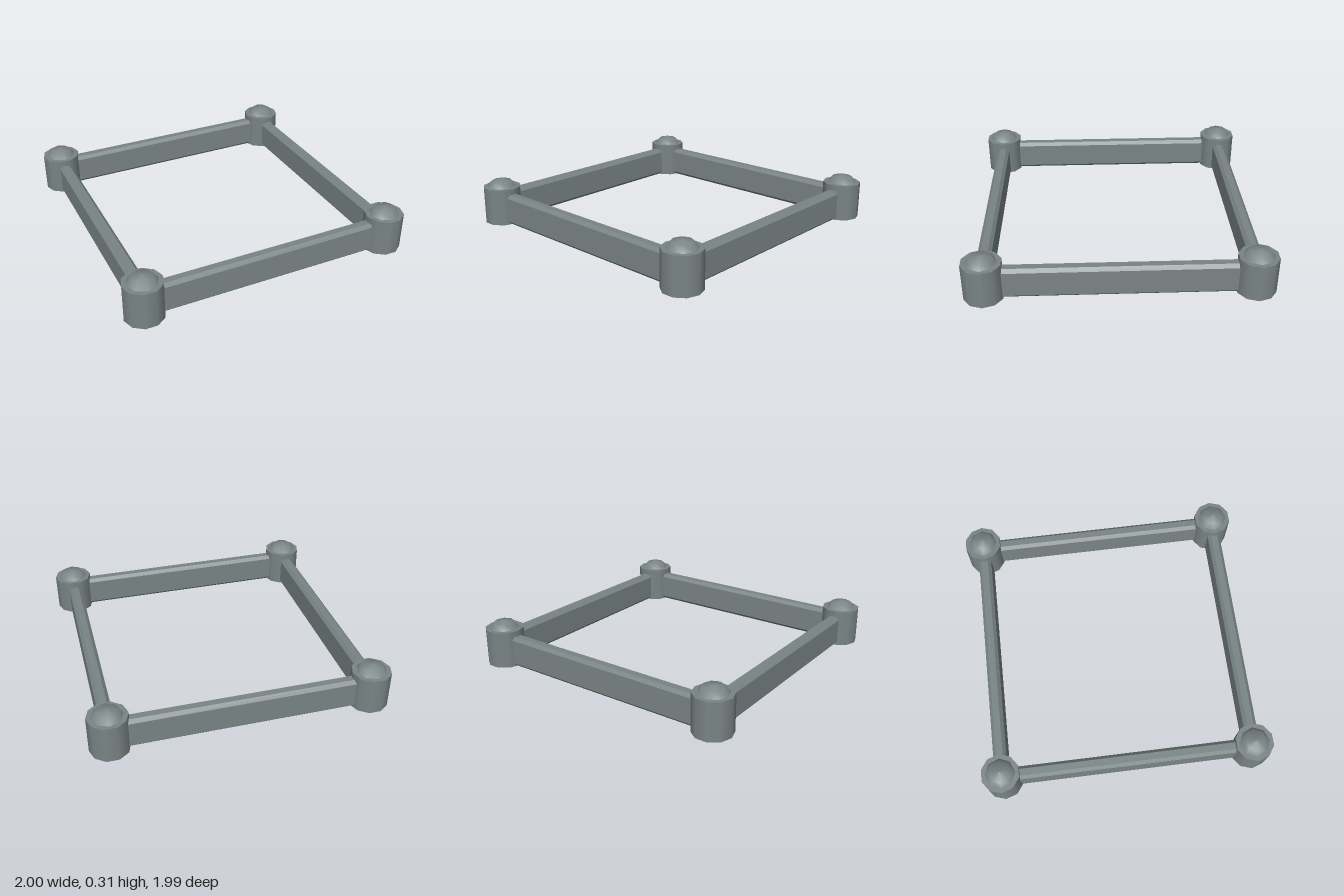
import * as THREE from 'three';

export function createModel() {
  const model = new THREE.Group();
  const iron = new THREE.MeshStandardMaterial({ color: 0x7a8485 });
  iron.name = 'greyIron';

  const C = 0.868; // post centre distance from the axes
  const postH = 0.257, beamH = 0.215, beamW = 0.09, bevel = 0.022;

  // Ten-sided post with a corner pointing along x
  const postGeo = new THREE.CylinderGeometry(0.132, 0.132, postH, 10);
  postGeo.rotateY(Math.PI / 2);
  postGeo.translate(0, postH / 2, 0);

  // Low eight-sided dome cap
  const capGeo = new THREE.LatheGeometry([
    new THREE.Vector2(0.104, postH - 0.002),
    new THREE.Vector2(0.07, 0.297),
    new THREE.Vector2(0, 0.312),
  ], 8);

  // Beam: bevelled rectangle extruded between two posts
  const w = beamW / 2;
  const section = new THREE.Shape([
    [-w + bevel, 0], [w - bevel, 0], [w, bevel], [w, beamH - bevel],
    [w - bevel, beamH], [-w + bevel, beamH], [-w, beamH - bevel], [-w, bevel],
  ].map(([x, y]) => new THREE.Vector2(x, y)));
  const length = 2 * (C - 0.1);
  const beamGeo = new THREE.ExtrudeGeometry(section, { depth: length, bevelEnabled: false });
  beamGeo.translate(0, 0.002, -length / 2);

  const add = (geo, name, x, z, turn = 0) => {
    const mesh = new THREE.Mesh(geo, iron);
    mesh.name = name;
    mesh.position.set(x, 0, z);
    mesh.rotation.y = turn;
    model.add(mesh);
  };

  // Corner posts and caps
  for (const sx of [-1, 1]) {
    for (const sz of [-1, 1]) {
      const corner = (sz > 0 ? 'front' : 'back') + (sx > 0 ? 'Left' : 'Right');
      add(postGeo, corner + 'Post', sx * C, sz * C);
      add(capGeo, corner + 'Cap', sx * C, sz * C);
    }
  }

  // Beams on the four sides
  for (const s of [-1, 1]) {
    add(beamGeo, s > 0 ? 'leftBeam' : 'rightBeam', s * C, 0);
    add(beamGeo, s > 0 ? 'frontBeam' : 'backBeam', 0, s * C, Math.PI / 2);
  }
  return model;
}
